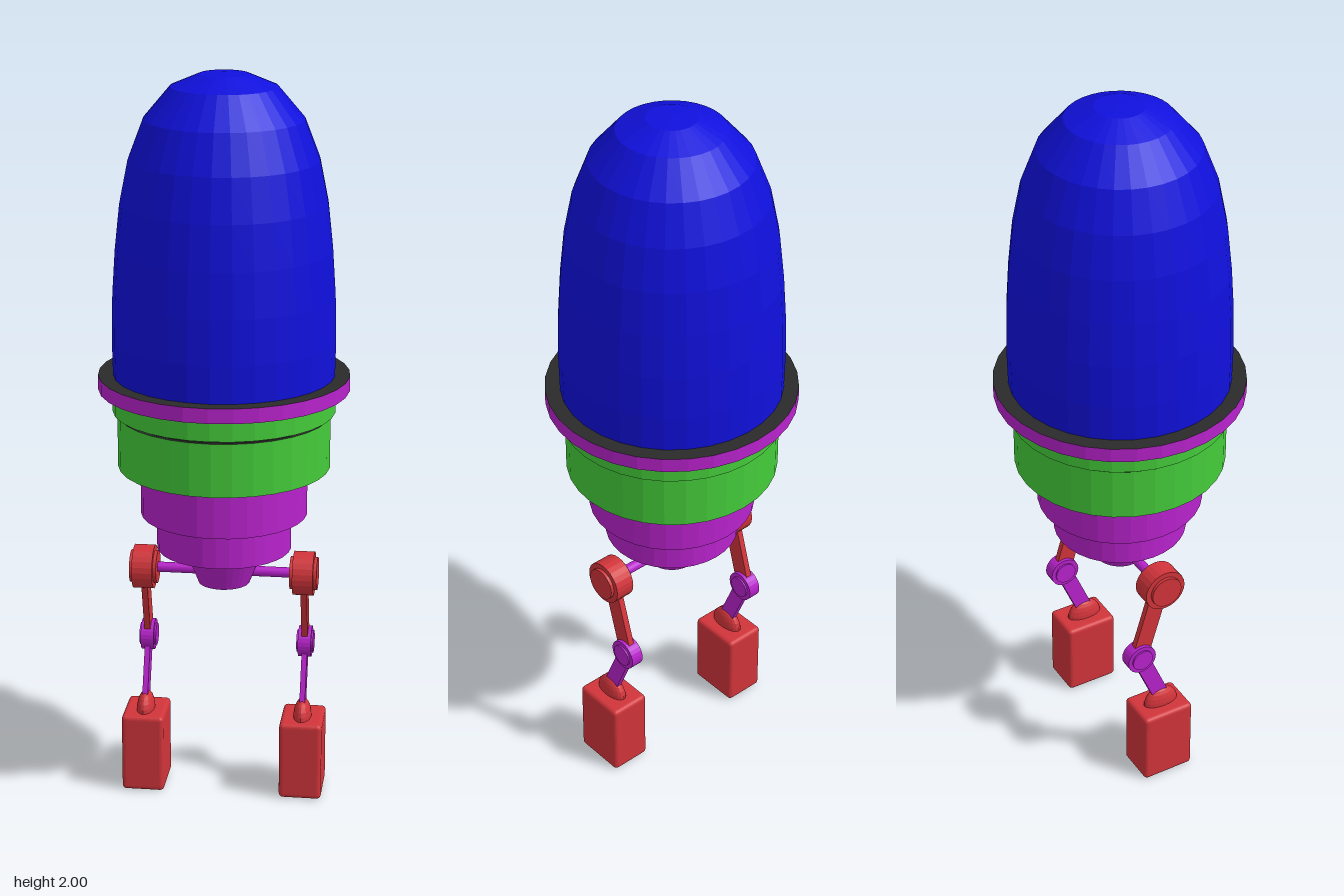
import * as THREE from 'three';
import { RoundedBoxGeometry } from 'three/addons/geometries/RoundedBoxGeometry.js';

const mat = (color) => new THREE.MeshStandardMaterial({ color, flatShading: true });
const blue = mat(0x1010dd), green = mat(0x44cc3a), magenta = mat(0xb822cc);
const red = mat(0xd0343a), dark = mat(0x2a2a2a);

function add(parent, name, geometry, material, x = 0, y = 0, z = 0) {
  const mesh = new THREE.Mesh(geometry, material);
  mesh.name = name;
  mesh.position.set(x, y, z);
  parent.add(mesh);
  return mesh;
}

// Solid of revolution; profile is [radius, height] from bottom to top
function turned(parent, name, profile, material) {
  const points = profile.map(([r, y]) => new THREE.Vector2(r, y));
  return add(parent, name, new THREE.LatheGeometry(points, 32), material);
}

// Cylinder lying along x
function disc(parent, name, radius, width, material, y, z = 0) {
  const geometry = new THREE.CylinderGeometry(radius, radius, width, 24).rotateZ(Math.PI / 2);
  return add(parent, name, geometry, material, 0, y, z);
}

// Flat bar between two points in the side plane
function bar(parent, name, y0, z0, y1, z1, width, depth, material) {
  const geometry = new THREE.BoxGeometry(width, Math.hypot(y1 - y0, z1 - z0), depth);
  const mesh = add(parent, name, geometry, material, 0, (y0 + y1) / 2, (z0 + z1) / 2);
  mesh.rotation.x = Math.atan2(z1 - z0, y1 - y0);
}

function createLeg(side) {
  const leg = new THREE.Group();
  leg.name = side > 0 ? 'leftLeg' : 'rightLeg';
  leg.position.x = side * 0.219;
  // Hip
  disc(leg, 'hip', 0.06, 0.056, red, 0.64);
  disc(leg, 'hipCap', 0.045, 0.074, red, 0.64);
  // Thigh, knee and shin
  bar(leg, 'thigh', 0.64, 0, 0.42, -0.065, 0.017, 0.052, red);
  disc(leg, 'knee', 0.043, 0.036, magenta, 0.415, -0.065);
  disc(leg, 'kneeCap', 0.031, 0.046, magenta, 0.415, -0.065);
  bar(leg, 'shin', 0.415, -0.065, 0.23, 0.012, 0.015, 0.046, magenta);
  // Ankle and block foot
  const ankle = add(leg, 'ankle', new THREE.SphereGeometry(1, 20, 12), red, 0, 0.22, 0.005);
  ankle.scale.set(0.025, 0.052, 0.052);
  add(leg, 'foot', new RoundedBoxGeometry(0.117, 0.222, 0.152, 3, 0.012), red, 0, 0.111, 0);
  return leg;
}

export function createModel() {
  const model = new THREE.Group();
  model.name = 'walkingCapsule';

  // Domed canopy
  turned(model, 'dome', [
    [0.295, 1.19], [0.297, 1.3], [0.294, 1.42], [0.286, 1.54], [0.273, 1.66],
    [0.25, 1.775], [0.21, 1.88], [0.14, 1.963], [0.065, 1.995], [0, 2],
  ], blue);

  // Flange with a dark upper face
  turned(model, 'flange', [[0.29, 1.16], [0.335, 1.16], [0.335, 1.2]], magenta);
  turned(model, 'flangeTop', [[0.335, 1.2], [0.28, 1.2]], dark);

  // Green collar and drum with a groove between them
  turned(model, 'collar', [[0.298, 1.1], [0.298, 1.16]], green);
  turned(model, 'collarUnderside', [[0.27, 1.1], [0.298, 1.1]], magenta);
  turned(model, 'groove', [[0.275, 1.085], [0.275, 1.105]], dark);
  turned(model, 'drum', [[0.285, 0.945], [0.285, 1.09]], green);
  turned(model, 'drumTop', [[0.285, 1.09], [0.27, 1.09]], dark);

  // Stepped base ending in a cone
  turned(model, 'base', [
    [0, 0.608], [0.07, 0.608], [0.11, 0.71], [0.182, 0.71], [0.182, 0.81],
    [0.225, 0.81], [0.225, 0.945], [0.285, 0.945],
  ], magenta);

  // Axle and mirrored legs
  disc(model, 'axle', 0.014, 0.438, magenta, 0.64);
  for (const side of [-1, 1]) model.add(createLeg(side));
  return model;
}
